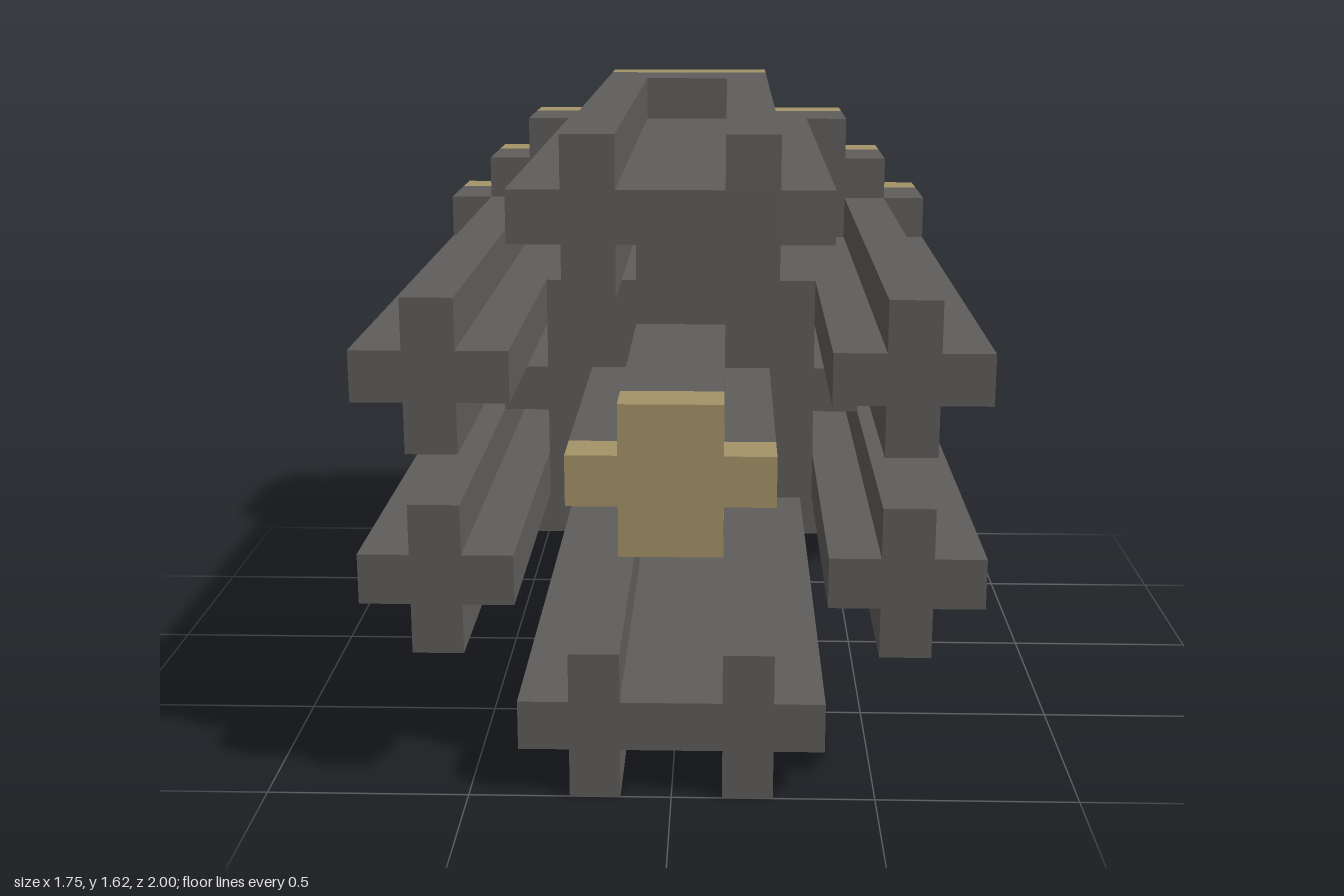
import * as THREE from 'three';

const U = 0.125; // size of one grid step
const MID = 6.5; // height of the axis in steps

export function createModel() {
  const model = new THREE.Group();
  const grey = new THREE.MeshStandardMaterial({ color: 0x5f5d5b });
  const gold = new THREE.MeshStandardMaterial({ color: 0xa39367 });

  // Stepped prism: half-widths of the rows from bottom to top, centred on (cx, cy), from z0 to z1
  function steppedPrism(name, rows, cx, cy, z0, z1, material) {
    const right = [];
    rows.forEach((w, i) => {
      if (w !== rows[i - 1]) {
        if (i > 0) right.push([rows[i - 1], i]);
        right.push([w, i]);
      }
    });
    right.push([rows[rows.length - 1], rows.length]);
    const left = right.map(([x, y]) => [-x, y]).reverse();
    const shape = new THREE.Shape(
      [...right, ...left].map(([x, y]) => new THREE.Vector2(x * U, (y - rows.length / 2) * U)));
    const geometry = new THREE.ExtrudeGeometry(shape, { depth: (z1 - z0) * U, bevelEnabled: false });
    const mesh = new THREE.Mesh(geometry, material);
    mesh.name = name;
    mesh.position.set(cx * U, cy * U, z0 * U);
    model.add(mesh);
  }

  // Round base: gold back plate and grey flange
  const disc = [2, 4, 5, 6, 6, 6, 7, 6, 6, 6, 5, 4, 2];
  steppedPrism('backPlate', disc, 0, MID, -8, -7, gold);
  steppedPrism('flange', disc, 0, MID, -7, -5, grey);

  // Core, with a thinner rod and its gold tip
  steppedPrism('core', [1, 3, 3, 4, 3, 3, 1], 0, MID, -5, 1, grey);
  const cross = [1, 2, 1];
  steppedPrism('rod', cross, 0, MID, 1, 7, grey);
  steppedPrism('rodTip', cross, 0, MID, 7, 8, gold);

  // Eight long bars with a plus section, mirrored in x and y
  for (const sx of [-1, 1]) {
    for (const sy of [-1, 1]) {
      for (const [x, y] of [[1.5, 5], [4.5, 2]]) {
        steppedPrism('bar', [0.5, 1.5, 0.5], sx * x, MID + sy * y, -5, 8, grey);
      }
    }
  }
  return model;
}
